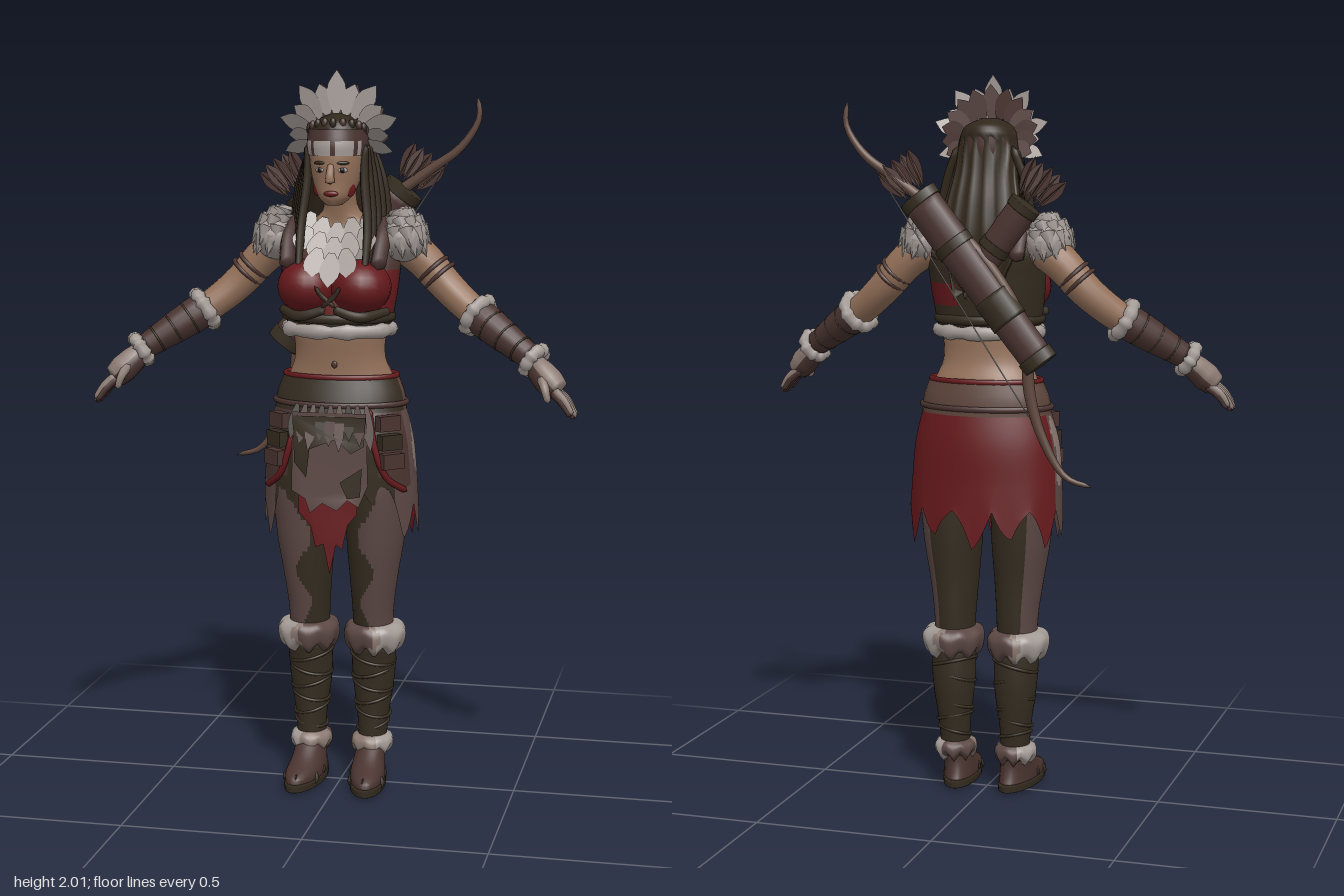
import * as THREE from 'three';
import { mergeVertices, mergeGeometries } from 'three/addons/utils/BufferGeometryUtils.js';

const V = (x, y, z) => new THREE.Vector3(x, y, z);
const paintOf = (name, color) => Object.assign(new THREE.MeshStandardMaterial({ color, side: THREE.DoubleSide }), { name });

export function createModel() {
  const root = new THREE.Group();
  root.name = 'archer';
  const skin = paintOf('skin', 0x94715a), fur = paintOf('pale fur', 0xa49b96), red = paintOf('red cloth', 0x66191c),
    tights = paintOf('mauve hide', 0x5c4844), dark = paintOf('dark leather', 0x352c20), leather = paintOf('brown leather', 0x4a3430),
    hairMat = paintOf('hair', 0x31271b), wood = paintOf('bow wood', 0x5d453b), pale = paintOf('pale hand paint', 0x8b7a72),
    black = paintOf('eye dark', 0x17120f);

  const add = (name, geo, mat, parent = root) => {
    const m = new THREE.Mesh(geo, mat);
    m.name = name;
    parent.add(m);
    return m;
  };
  const smooth = (g) => {
    g.deleteAttribute('uv'); g.deleteAttribute('normal');
    const r = mergeVertices(g, 1e-5);
    r.computeVertexNormals();
    return r;
  };

  // Stack of ellipses [y, centre x, centre z, radius x, radius z], bottom to top
  function loft(name, secs, mats, { n = 32, sub = 4, paint = () => 0, rule, caps = true } = {}) {
    const A = new THREE.CatmullRomCurve3(secs.map(s => V(s[0], s[1], s[2])), false, 'catmullrom');
    const B = new THREE.CatmullRomCurve3(secs.map(s => V(s[3], s[4], 0)), false, 'catmullrom');
    const m = (secs.length - 1) * sub, pos = [], list = [].concat(mats), faces = list.map(() => []);
    for (let i = 0; i <= m; i++) {
      const c = A.getPoint(i / m), r = B.getPoint(i / m);
      for (let j = 0; j < n; j++) {
        const a = j / n * Math.PI * 2, p = V(c.y + r.x * Math.cos(a), c.x, c.z + r.y * Math.sin(a));
        if (rule) rule(p, i / m, a, j);
        pos.push(p.x, p.y, p.z);
      }
    }
    for (let i = 0; i < m; i++) for (let j = 0; j < n; j++) {
      const k = (j + 1) % n, a = i * n + j, b = a + n, c = i * n + k, d = c + n;
      faces[paint((i + .5) / m, (j + .5) / n * Math.PI * 2)].push(a, b, d, a, d, c);
    }
    if (caps) for (const i of [0, m]) {
      const s = secs[i ? secs.length - 1 : 0], o = pos.length / 3;
      pos.push(s[1], s[0], s[2]);
      for (let j = 0; j < n; j++) {
        const a = i * n + j, b = i * n + (j + 1) % n;
        faces[paint(i / m, (j + .5) / n * Math.PI * 2)].push(o, i ? b : a, i ? a : b);
      }
    }
    const g = new THREE.BufferGeometry();
    g.setAttribute('position', new THREE.Float32BufferAttribute(pos, 3));
    g.setIndex(faces.flat());
    let at = 0;
    if (list.length > 1) faces.forEach((f, i) => { g.addGroup(at, f.length, i); at += f.length; });
    g.computeVertexNormals();
    return add(name, g, list.length > 1 ? list : list[0]);
  }

  // Tube along points with changing radius, closed at both ends
  function limb(name, pts, radii, mat, { n = 12, seg = 24, flat = 1 } = {}) {
    const curve = new THREE.CatmullRomCurve3(pts.map(p => V(...p)));
    const g = new THREE.TubeGeometry(curve, seg, 1, n), P = g.attributes.position;
    for (let i = 0; i <= seg; i++) {
      const c = curve.getPointAt(i / seg), f = i / seg * (radii.length - 1), k = Math.min(Math.floor(f), radii.length - 2);
      const r = i % seg === 0 ? 0 : radii[k] + (radii[k + 1] - radii[k]) * (f - k);
      for (let j = 0; j <= n; j++) {
        const q = i * (n + 1) + j;
        P.setXYZ(q, c.x + (P.getX(q) - c.x) * r, c.y + (P.getY(q) - c.y) * r, c.z + (P.getZ(q) - c.z) * r * flat);
      }
    }
    return add(name, smooth(g), mat);
  }

  // Band or lumpy fur roll around an axis
  function ring(name, at, axis, r, tube, mat, { bump = 0, oval = 1 } = {}) {
    const g = new THREE.TorusGeometry(r, tube, 9, 40), P = g.attributes.position;
    for (let i = 0; i < P.count; i++) {
      const x = P.getX(i), y = P.getY(i), a = Math.atan2(y, x), cx = r * Math.cos(a), cy = r * Math.sin(a);
      const k = 1 + bump * (Math.sin(9 * a) + .6 * Math.sin(14 * a + 1));
      P.setXYZ(i, cx + (x - cx) * k, (cy + (y - cy) * k) * oval, P.getZ(i) * k);
    }
    const m = add(name, smooth(g), mat);
    m.position.set(...at);
    m.quaternion.setFromUnitVectors(V(0, 0, 1), V(...axis).normalize());
  }

  // Flat pointed feather growing along +y
  function feather(name, at, rot, len, w, mat) {
    const s = new THREE.Shape();
    s.moveTo(-w * .15, 0);
    s.quadraticCurveTo(-w * .75, len * .55, -w * .3, len * .8);
    s.lineTo(0, len); s.lineTo(w * .3, len * .8);
    s.quadraticCurveTo(w * .75, len * .55, w * .15, 0);
    const m = add(name, new THREE.ShapeGeometry(s, 5), mat);
    m.position.set(...at);
    m.rotation.set(...rot, 'ZYX');
  }
  const blob = (name, at, size, mat, ry = 0) => {
    const m = add(name, new THREE.SphereGeometry(1, 20, 14), mat);
    m.position.set(...at); m.scale.set(...size); m.rotation.y = ry;
  };
  const cloth = (name, pts, z, mat) => {
    const g = new THREE.ShapeGeometry(new THREE.Shape(pts.map(p => new THREE.Vector2(...p)))), P = g.attributes.position;
    for (let i = 0; i < P.count; i++) P.setZ(i, z - 1.4 * P.getX(i) ** 2);
    g.computeVertexNormals();
    add(name, g, mat);
  };

  // Torso, neck and head
  loft('torso', [[1.04, 0, -.005, .165, .1], [1.15, 0, -.01, .152, .09], [1.22, 0, .003, .127, .08], [1.3, 0, .01, .132, .085],
    [1.4, 0, .008, .148, .09], [1.5, 0, -.01, .16, .08], [1.57, 0, -.02, .12, .058], [1.62, 0, -.01, .052, .05], [1.7, 0, .02, .045, .045]], skin);
  loft('head', [[1.642, 0, .085, .022, .03], [1.665, 0, .073, .046, .055], [1.7, 0, .055, .062, .074], [1.75, 0, .045, .073, .088],
    [1.8, 0, .035, .076, .093], [1.835, 0, .025, .06, .075], [1.86, 0, .02, .015, .02]], skin);
  limb('nose', [[0, 1.755, .125], [0, 1.72, .14], [0, 1.7, .138]], [.008, .011, .014], skin, { seg: 10 });
  blob('lips', [0, 1.674, .127], [.02, .008, .007], red);
  blob('navel', [0, 1.205, .083], [.008, .01, .004], leather);
  for (const s of [1, -1]) {
    blob('eye', [s * .031, 1.737, .122], [.014, .007, .006], fur, s * .35);
    blob('pupil', [s * .031, 1.737, .126], [.007, .007, .004], black, s * .35);
    blob('eyebrow', [s * .032, 1.756, .123], [.018, .005, .005], hairMat, s * .35);
    blob('cheekPaint', [s * .047, 1.685, .093], [.016, .02, .005], red, s * .85);
  }

  // Hair with hanging braids
  loft('hair', [[1.44, 0, -.09, .07, .012], [1.55, 0, -.077, .118, .036], [1.65, 0, -.05, .108, .05], [1.74, 0, -.02, .09, .058],
    [1.81, 0, .017, .086, .082], [1.86, 0, .02, .068, .078], [1.885, 0, .02, .02, .025]], hairMat,
    { n: 48, rule: (p, t, a, j) => { if (t < .75 && j % 3 === 0) p.z += .01; if (t === 0) p.y += .05 * Math.sin(a * 7); } });
  for (const s of [1, -1]) for (let i = 0; i < 5; i++) {
    const x = .08 + .009 * i;
    limb('braid', [[s * .077, 1.81, .058 - i * .02], [s * x, 1.7, .065 - i * .02], [s * (x + .012), 1.58, .085 - i * .022],
      [s * (x + .01 - .008 * i), 1.41 + .025 * (i % 3), .14 - i * .02]], [.011, .013, .012, .005], hairMat, { n: 8 });
  }

  // Headdress
  loft('headband', [[1.775, 0, .037, .08, .098], [1.805, 0, .036, .084, .1], [1.845, 0, .032, .08, .094]], [leather, fur],
    { n: 40, caps: false, paint: (t, a) => t < .6 && Math.sin(a) > .45 && Math.sin(a * 16) > -.6 ? 1 : 0 });
  for (let i = 0; i <= 12; i++) {
    const th = (i - 6) / 6 * 1.95, s = Math.sin(th), c = Math.cos(th), side = Math.abs(th) / 1.95;
    feather('crownFeather', [s * .072, 1.83 + c * .055, .06 - .03 * side], [-.08, Math.sign(th) * .8 * side, -th], .118 - .03 * side - (i % 2) * .026, .054, fur);
    feather('crownBackFeather', [s * .068, 1.83 + c * .05, .042 - .035 * side], [.03, Math.sign(th) * .1, -th - .05], .098 - .034 * side, .05, i % 3 ? leather : tights);
    blob('crownBead', [s * .077, 1.842 + c * .02, .1 - .07 * side], [.009, .014, .009], i % 2 ? leather : dark);
  }

  // Cropped top, bib and fur hem
  loft('top', [[1.29, 0, .02, .142, .095], [1.36, 0, .014, .155, .1], [1.45, 0, 0, .166, .098], [1.53, 0, -.02, .165, .085], [1.59, 0, -.025, .115, .052]],
    [dark, red, skin, leather], {
      n: 48, sub: 6, caps: false, paint: (t, a) => {
        const f = Math.sin(a), c = Math.cos(a), w = Math.abs(c);
        if (f > .15) return t < .2 ? 0 : t < .56 ? 1 : w > .3 ? 3 : 2;
        return t > .3 && t < .46 && c > .35 ? 1 : 0;
      }
    });
  for (const s of [1, -1]) {
    blob('bust', [s * .073, 1.42, .08], [.084, .075, .092], red, s * .2);
    limb('topTie', [[s * .01, 1.365, .15], [s * .08, 1.345, .15], [s * .15, 1.355, .07]], [.012, .015, .012], dark, { n: 8 });
    limb('topKnot', [[s * -.02, 1.37, .16], [s * .02, 1.405, .165], [s * .035, 1.43, .172]], [.006, .007, .005], dark, { n: 8, seg: 8 });
    limb('strap', [[s * .125, 1.47, .115], [s * .13, 1.56, .055], [s * .115, 1.6, -.03], [s * .11, 1.5, -.1]], [.022, .022], leather, { n: 8 });
  }
  ring('topFurHem', [0, 1.3, .022], [0, 1, 0], .143, .019, fur, { bump: .15, oval: .74 });
  ring('topBand', [0, 1.335, .022], [0, 1, 0], .146, .013, dark, { oval: .74 });
  [[1.592, .04, 5, .045], [1.555, .08, 5, .045], [1.515, .118, 3, .045]].forEach(([y, z, n, dx]) => {
    for (let i = 0; i < n; i++) {
      const k = i - (n - 1) / 2;
      feather('bibFeather', [k * dx * .8, y + Math.abs(k) * .012, z - k * k * .005], [.52, 0, Math.PI + k * .22], .105 - Math.abs(k) * .012, .058, fur);
    }
  });

  // Shaggy shoulder fur, arms and hands
  const elbowDir = [.15, -.1, .07];
  for (const s of [1, -1]) {
    const M = ([x, y, z]) => [s * x, y, z];
    blob('shoulderFurBase', [s * .179, 1.55, -.005], [.066, .067, .094], fur);
    const tufts = [];
    for (let r = 0; r < 4; r++) for (let k = 0; k < 10; k++) {
      const a = (k + r % 2 * .5) / 10 * Math.PI * 2, b = .45 + r * .48;
      const d = V(Math.sin(b) * Math.cos(a) * s, Math.cos(b), Math.sin(b) * Math.sin(a));
      const g = new THREE.ConeGeometry(.024, .055, 6);
      g.applyQuaternion(new THREE.Quaternion().setFromUnitVectors(V(0, 1, 0), V(d.x * .5 + .3 * s, d.y - 1.3, d.z * .5).normalize()));
      tufts.push(g.translate(s * .184 + d.x * .054, 1.543 + d.y * .06, -.005 + d.z * .085));
    }
    add('shoulderFurTufts', mergeGeometries(tufts), fur);
    limb('arm', [[.14, 1.55, -.02], [.22, 1.495, -.028], [.29, 1.42, -.024], [.36, 1.36, 0], [.45, 1.3, .04], [.56, 1.225, .09]].map(M),
      [.055, .051, .046, .042, .038, .025], skin, { n: 16 });
    for (const d of [0, .018]) ring('armBand', M([.255 + d, 1.463 - d, -.027]), M([.6, -.65, .05]), .047, .006, leather);
    limb('bracer', [[.375, 1.35, .008], [.45, 1.3, .042], [.545, 1.237, .083]].map(M), [.05, .049, .045, .039, .034], leather, { n: 16 });
    for (let i = 0; i < 3; i++) ring('bracerBand', M([.425 + i * .042, 1.317 - i * .028, .031 + i * .019]), M(elbowDir), .0465 - i * .0045, .003, dark);
    ring('elbowFur', M([.385, 1.342, .012]), M(elbowDir), .046, .019, fur, { bump: .13 });
    ring('wristFur', M([.55, 1.233, .086]), M(elbowDir), .034, .018, fur, { bump: .13 });
    // Pale back of the hand over a dark palm side
    for (const [label, mat, o] of [['handBack', pale, 0], ['palmSide', leather, .005]]) {
      const H = ([x, y, z]) => M([x - o, y - o, z]);
      limb(label, [[.545, 1.235, .085], [.585, 1.195, .108], [.625, 1.155, .125]].map(H), [.024, .033, .036, .028], mat, { n: 14, seg: 14 });
      for (let i = 0; i < 4; i++) {
        const k = Math.abs(i - 1.5);
        limb(label + 'Finger', [[.6 + i * .003, 1.165, .1 + i * .014], [.64, 1.135, .1 + i * .018], [.675 - k * .008, 1.087 + k * .009, .1 + i * .021]].map(H),
          [.012, .011, .007], mat, { n: 8, seg: 12 });
      }
    }
    limb('thumb', [[.575, 1.195, .125], [.588, 1.165, .155], [.598, 1.13, .163]].map(M), [.015, .012, .008], pale, { n: 8, seg: 12 });
  }

  // Legs, boots and sandals
  for (const s of [1, -1]) {
    const S = a => a.map(([y, x, z, rx, rz]) => [y, s * x, z, rx, rz]);
    loft('leg', S([[.38, .092, -.016, .054, .058], [.5, .092, -.01, .058, .072], [.6, .095, -.004, .068, .083], [.72, .1, -.002, .082, .098],
      [.87, .102, 0, .09, .108], [1, .092, 0, .088, .098], [1.08, .085, -.005, .075, .085]]), [tights, dark],
      { n: 64, sub: 9, paint: (t, a) => t < .65 && (Math.cos(a) * s < -.1 + .3 * Math.sin(t * 22) || (Math.sin(a) < -.5 && Math.cos(a) * s < .5)) ? 1 : 0 });
    loft('boot', S([[.09, .088, -.018, .04, .046], [.18, .09, -.022, .044, .05], [.3, .091, -.026, .06, .06], [.41, .093, -.018, .064, .066]]), dark);
    for (let i = 0; i < 6; i++) ring('bootLace', [s * .09, .16 + i * .04, -.023], [s * .25 * (i % 2 ? 1 : -1), 1, .15], .046 + i * .0035, .0045, dark);
    const shaggy = (p, t, a) => { p.y += .012 * Math.sin(a * 8) * (1 - t); };
    loft('kneeFur', S([[.385, .094, -.016, .062, .068], [.4, .095, -.016, .08, .088], [.435, .096, -.016, .088, .096], [.455, .095, -.015, .076, .086], [.462, .094, -.014, .06, .07]]),
      [fur, pale, tights], { n: 48, rule: shaggy, paint: (t, a) => { const c = Math.cos(a) * s + .08 * Math.sin(t * 9); return c > .3 ? 0 : c > .1 ? 1 : 2; } });
    loft('ankleFur', S([[.085, .088, -.015, .044, .05], [.1, .089, -.017, .058, .065], [.12, .089, -.018, .058, .064], [.133, .089, -.018, .044, .05]]),
      [fur, pale, tights], { rule: shaggy, paint: (t, a) => Math.cos(a) * s > .35 ? 0 : Math.sin(a) > 0 ? 1 : 2 });
    const turn = (p) => { p.x += s * .09 * (p.z + .02); };
    loft('sole', S([[0, .083, .048, .05, .128], [.022, .083, .048, .052, .13]]), dark, { rule: turn });
    loft('foot', S([[.02, .083, .048, .049, .124], [.042, .083, .046, .049, .113], [.072, .084, .015, .044, .075], [.115, .088, -.015, .04, .045]]), leather, { rule: turn });
    for (const [z, y, r] of [[.1, .024, .046], [.045, .034, .047]])
      ring('sandalStrap', [s * (.085 + .09 * z), y, z], [0, .25, 1], r, .007, dark, { oval: .62 });
    blob('toeGap', [s * .095, .036, .145], [.004, .012, .02], dark);
  }

  // Skirt: red back, pale and mauve sides, ragged hem
  loft('skirt', [[.77, 0, -.01, .22, .138], [.88, 0, -.004, .216, .137], [1, 0, 0, .205, .134], [1.12, 0, -.008, .172, .102]], [red, tights, pale, leather, dark], {
    n: 120, sub: 10, caps: false,
    rule: (p, t, a, j) => {
      const front = Math.max(0, Math.sin(a) - .55), jag = .08 - .18 * Math.abs((j % 10) / 10 - .5) * (1 + .5 * Math.sin(j * .31));
      p.y += (1 - t) ** 2 * front * .3 + (1 - t) ** 6 * (jag - .035);
    },
    paint: (t, a) => {
      const f = Math.sin(a), wave = .06 * Math.sin(t * 14);
      if (f < -.25) return 0;
      if (f < .3) return t > .34 && t < .86 && Math.abs(f + .05 - wave) < .62 * Math.sqrt((t - .34) * (.86 - t)) ? 2 : 1;
      if (f < .62) return t < .3 ? 1 : 3;
      return f < .82 ? (Math.sin(t * 11) > .3 ? 4 : 3) : 4;
    }
  });
  cloth('redLoincloth', [[-.09, .9], [-.09, .8], [-.055, .765], [-.04, .705], [-.018, .715], [0, .63], [.018, .715], [.035, .7], [.05, .77], [.075, .8], [.08, .9]], .148, red);
  cloth('hideApron', [[-.105, 1.08], [-.11, .86], [-.07, .84], [-.055, .8], [-.02, .83], [.02, .81], [.05, .84], [.08, .82], [.105, .88], [.1, 1.08]], .153, tights);
  cloth('apronPatch', [[-.105, 1.07], [-.1, .94], [-.065, .9], [-.055, .98], [.02, 1.01], [.06, .97], [.095, .99], [.1, 1.07]], .157, dark);
  cloth('apronLowPatch', [[.03, .89], [.09, .93], [.085, .85], [.05, .845]], .157, dark);
  for (let i = 0; i < 9; i++)
    feather('beltFringe', [(i - 4) * .024, 1.1, .13 - .0008 * (i - 4) ** 2], [.28, 0, Math.PI + (i - 4) * .04], .1 + (i % 3) * .015, .03, [dark, leather, tights][i % 3]);
  for (const s of [1, -1]) {
    limb('redTrim', [[s * .1, 1.09, .1], [s * .12, .98, .117], [s * .15, .9, .105], [s * .2, .855, .06]], [.009, .009], red, { n: 8 });
    for (let i = 0; i < 3; i++) {
      const p = add('pouch', new THREE.BoxGeometry(.065, .042, .028), i % 2 ? dark : leather);
      p.position.set(s * (.152 + i * .006), 1.05 - i * .052, .096 + i * .003);
      p.rotation.y = s * .75;
    }
  }
  loft('belt', [[1.075, 0, -.004, .186, .118], [1.12, 0, -.008, .18, .109], [1.165, 0, -.01, .163, .097]], [dark, wood],
    { caps: false, paint: (t, a) => Math.sin(a) < .2 ? 1 : 0 });
  ring('beltRedEdge', [0, 1.168, -.01], [0, 1, 0], .157, .008, red, { oval: .6 });
  ring('beltCord', [0, 1.095, -.006], [0, 1, 0], .185, .008, leather, { oval: .63 });

  // Bow, bow case and quiver on the back
  limb('bow', [[.355, 1.93, -.14], [.36, 1.87, -.14], [.31, 1.79, -.142], [.22, 1.725, -.145], [.08, 1.62, -.145], [-.06, 1.48, -.145], [-.15, 1.32, -.145],
    [-.165, 1.15, -.145], [-.2, 1.03, -.142], [-.265, .925, -.14], [-.34, .9, -.14]], [.006, .012, .016, .017, .016, .017, .016, .012, .006], wood, { n: 10, seg: 60 });
  limb('bowString', [[.355, 1.87, -.14], [-.27, .92, -.14]], [.002, .002], fur, { n: 5, seg: 4 });
  function quiver(name, top, end, r, z, flat, bands) {
    const a = V(...top, z), b = V(...end, z), d = a.clone().sub(b).normalize(), side = V(-d.y, d.x, 0);
    limb(name, [a.toArray(), b.toArray()], [r, r, r * .97, r * .93, r * .88], leather, { n: 16, flat });
    for (const [t, u] of bands)
      limb(name + 'Band', [a.clone().lerp(b, t).toArray(), a.clone().lerp(b, u).toArray()], [r * (1.08 - .1 * t), r * (1.08 - .1 * u)], dark, { n: 16, seg: 12, flat });
    for (let i = -2; i <= 2; i++) {
      const p = a.clone().addScaledVector(side, i * .014).add(V(0, 0, i % 2 * .012));
      const q = a.clone().addScaledVector(d, .115 - Math.abs(i) * .014).addScaledVector(side, i * .024).add(V(0, 0, i % 2 * .015));
      limb('arrowShaft', [p.toArray(), q.toArray()], [.004, .004], wood, { n: 6, seg: 4 });
      const ang = Math.atan2(q.y - p.y, q.x - p.x) - Math.PI / 2, f = p.clone().lerp(q, .2).toArray();
      for (const ry of [0, 1.57]) feather('arrowFletching', f, [0, ry, ang], .1, .038, i % 2 ? tights : leather);
    }
  }
  quiver('bowCase', [.155, 1.68], [-.2, 1.225], .054, -.145, .66, [[0, .06], [.27, .33], [.58, .76], [.93, 1]]);
  quiver('arrowQuiver', [-.15, 1.66], [.03, 1.42], .043, -.128, .7, [[0, .1], [.45, .55]]);
  return root;
}
